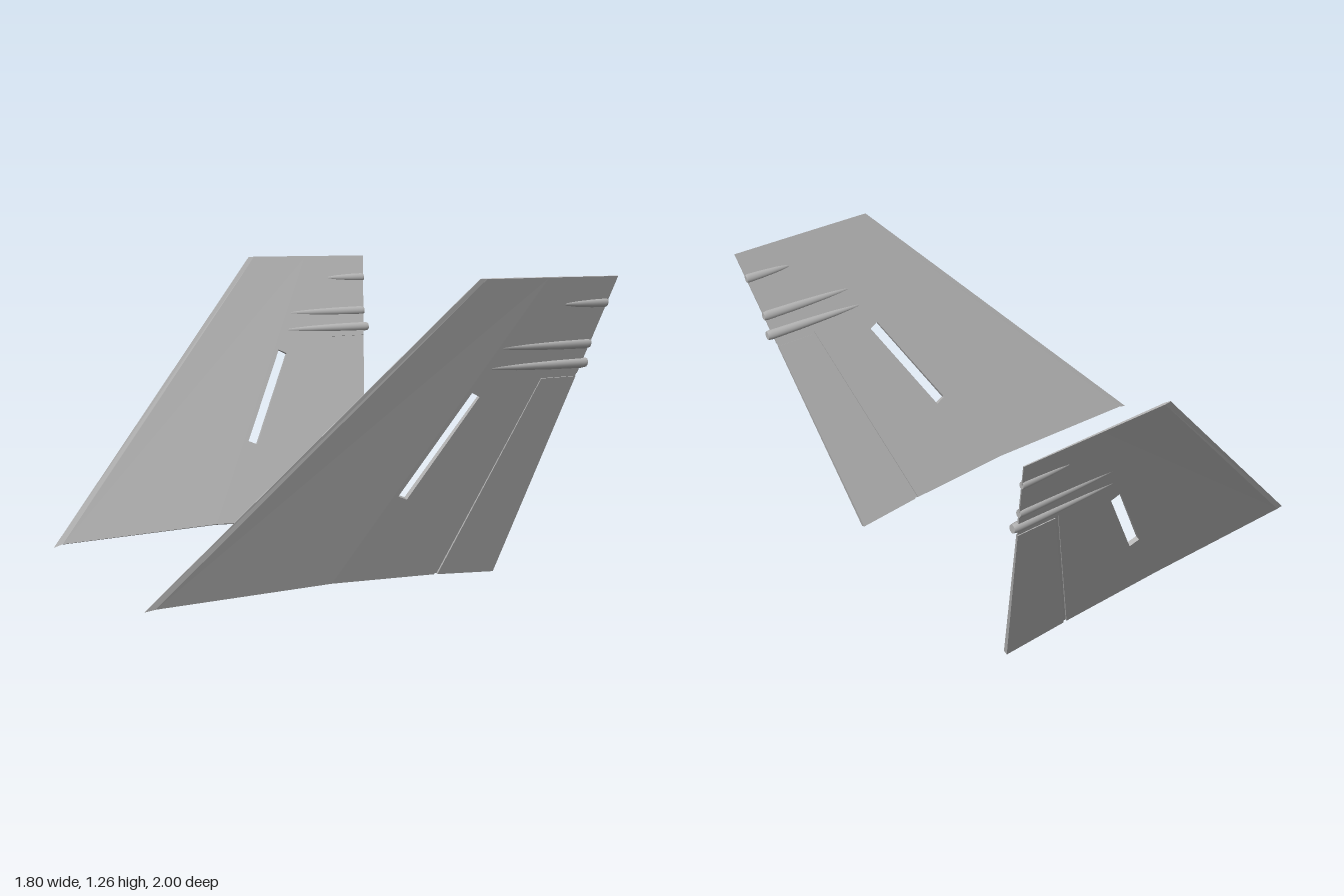
import * as THREE from 'three';

const CANT = Math.atan(0.366);      // outward lean of each fin
const STRETCH = 1 / Math.cos(CANT); // upright height to length along the fin

// Half thickness: thin at the swept leading edge and toward the top and trailing edge
function halfThickness(x, y) {
  const leadingX = -0.9 + 1.16 * (y - 0.035) / 1.225;
  const body = 0.0125 - 0.006 * y - 0.0036 * x;
  return Math.max(0.0012, Math.min(body, 0.0012 + 0.2 * (x - leadingX)));
}

// Flat outline in upright x, y turned into a tapered plate
function panel(name, points, material, { hole, thin = 1 } = {}) {
  const toVectors = (list) => list.map(([x, y]) => new THREE.Vector2(x, y));
  const shape = new THREE.Shape(toVectors(points));
  if (hole) shape.holes.push(new THREE.Path(toVectors(hole)));
  const geometry = new THREE.ExtrudeGeometry(shape, { depth: 1, bevelEnabled: false });
  const pos = geometry.attributes.position;
  for (let i = 0; i < pos.count; i++) {
    const x = pos.getX(i), y = pos.getY(i);
    const side = pos.getZ(i) > 0.5 ? 1 : -1;
    pos.setXYZ(i, x, y * STRETCH, side * thin * halfThickness(x, y));
  }
  geometry.computeVertexNormals();
  const mesh = new THREE.Mesh(geometry, material);
  mesh.name = name;
  return mesh;
}

// Slender fairing that swells toward a blunt rear end
function pod(name, y, start, end, height, width, material) {
  const length = end - start;
  const profile = [[0, 0], [0.35, 0.06], [0.65, 0.3], [0.9, 0.65], [1, 0.96], [0.85, 1]]
    .map(([r, t]) => new THREE.Vector2(r, t * length));
  const tube = new THREE.LatheGeometry(profile, 16);
  const cap = new THREE.CircleGeometry(0.85, 16);
  cap.rotateX(-Math.PI / 2).translate(0, length, 0);
  const group = new THREE.Group();
  group.name = name;
  for (const geometry of [tube, cap]) {
    geometry.rotateZ(-Math.PI / 2).scale(1, height, width);
    const mesh = new THREE.Mesh(geometry, material);
    mesh.name = geometry === tube ? 'fairing' : 'fairingEnd';
    group.add(mesh);
  }
  group.position.set(start, y * STRETCH, 0);
  return group;
}

function makeFin(name, material) {
  const fin = new THREE.Group();
  fin.name = name;

  // Swept front half with its sharp edge
  fin.add(panel('leadingEdge', [[-0.9, 0.035], [-0.86, 0.045], [0.288, 1.26], [0.26, 1.26]], material));
  fin.add(panel('frontPanel', [[-0.86, 0.045], [-0.12, 0.055], [0.57, 1.258], [0.288, 1.26]], material));

  // Rear half with a slanted open slot
  fin.add(panel('rearPanel', [
    [-0.12, 0.055], [0.362, 0.031], [0.645, 0.866], [0.825, 0.866], [0.9, 1.255], [0.57, 1.258],
  ], material, { hole: [[0.104, 0.407], [0.147, 0.389], [0.379, 0.797], [0.34, 0.816]] }));

  // Rudder, set off by a narrow groove with a recessed floor
  fin.add(panel('rudder', [[0.378, 0.029], [0.66, 0.005], [0.822, 0.854], [0.655, 0.854]], material));
  fin.add(panel('rudderGroove', [
    [0.355, 0.032], [0.385, 0.029], [0.66, 0.848], [0.821, 0.848], [0.826, 0.872], [0.638, 0.872],
  ], material, { thin: 0.35 }));

  // Trailing edge fairings
  fin.add(pod('upperFairing', 1.15, 0.67, 0.88, 0.019, 0.013, material));
  fin.add(pod('middleFairing', 0.987, 0.41, 0.85, 0.021, 0.015, material));
  fin.add(pod('lowerFairing', 0.908, 0.38, 0.857, 0.022, 0.018, material));
  return fin;
}

export function createModel() {
  const model = new THREE.Group();
  model.name = 'twinTailFins';
  const grey = new THREE.MeshStandardMaterial({ color: 0xb4b4b4 });
  grey.name = 'fin grey';

  // The fins are symmetric plates, leaning away from each other
  for (const side of [1, -1]) {
    const fin = makeFin(side > 0 ? 'frontFin' : 'backFin', grey);
    fin.position.z = side * 0.534;
    fin.rotation.x = side * CANT;
    model.add(fin);
  }
  return model;
}
